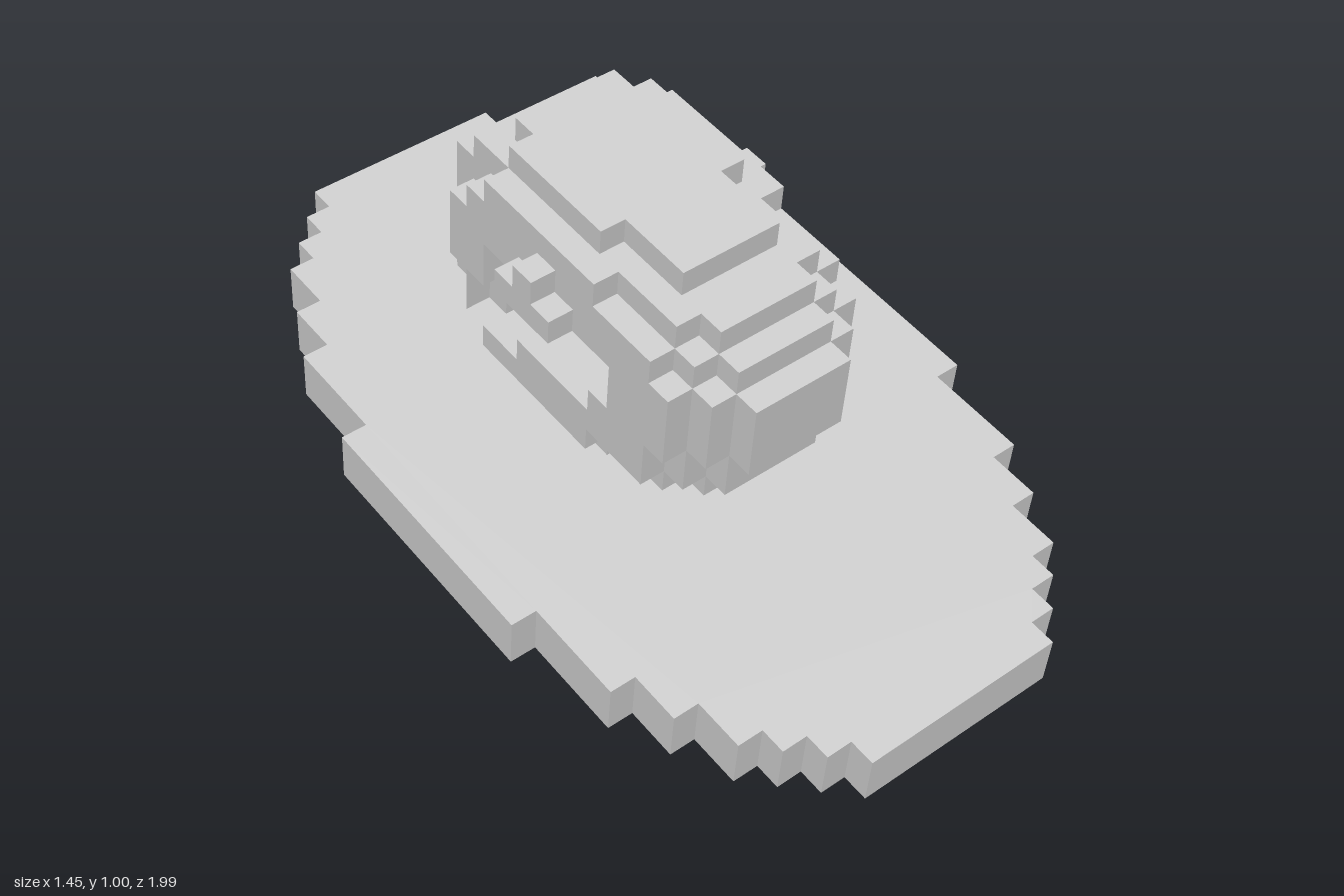
import * as THREE from 'three';

const CELL = 0.0616; // edge of one block

// Stepped outline points. rows: [end, min, max] stacked upward from start.
function steppedPoints(start, rows) {
  const right = [], left = [];
  let y = start;
  for (const [end, min, max] of rows) {
    right.push(new THREE.Vector2(max, y), new THREE.Vector2(max, end));
    left.push(new THREE.Vector2(min, y), new THREE.Vector2(min, end));
    y = end;
  }
  return [...right, ...left.reverse()];
}

function slab(start, rows, depth, hole) {
  const shape = new THREE.Shape(steppedPoints(start, rows));
  if (hole) shape.holes.push(new THREE.Path(steppedPoints(hole.start, hole.rows)));
  return new THREE.ExtrudeGeometry(shape, { depth, bevelEnabled: false });
}

export function createModel() {
  const model = new THREE.Group();
  const material = new THREE.MeshStandardMaterial({ color: 0xcccccc, flatShading: true });
  const add = (name, geometry) => {
    const mesh = new THREE.Mesh(geometry, material);
    mesh.name = name;
    model.add(mesh);
  };

  // Oval base plate, two blocks thick: [z end, half width]
  const half = [[5, 10], [9, 9], [11, 8], [13, 7], [14, 6], [15, 5], [16, 4]];
  const baseRows = [];
  for (let i = half.length - 1; i > 0; i--) baseRows.push([-half[i - 1][0], -half[i][1], half[i][1]]);
  for (const [end, w] of half) baseRows.push([end, -w, w]);
  add('basePlate', slab(-16, baseRows, 2).rotateX(Math.PI / 2).translate(0, 2, 0));

  // Upright ring with a tunnel from side to side, made of nested slabs
  const innerHole = { start: 4, rows: [[5, -5, -3], [6, -5, 1], [8, -5, 2]] };
  const outerHole = { start: 4, rows: [[5, -6, -3], [6, -6, 1], [8, -5, 2]] };
  const layers = [
    { halfWidth: 1, start: 2, hole: innerHole, rows: [[3, -6, 4], [4, -7, 5]] },
    { halfWidth: 2, start: 2, hole: innerHole, rows: [[3, -6, 3], [4, -7, 5], [6, -8, 6], [8, -9, 7],
      [9, -8, 7], [10, -8, 6], [11, -7, 5], [12, -6, 3]] },
    { halfWidth: 3, start: 2, hole: innerHole, rows: [[3, -5, 1], [4, -7, 4], [6, -8, 5], [9, -8, 6],
      [10, -8, 5], [11, -7, 4], [12, -5, 0]] },
    { halfWidth: 4, start: 3, hole: outerHole, rows: [[4, -5, 1], [6, -6, 4], [9, -7, 5], [10, -6, 4],
      [11, -5, 1]] },
    // Small ledge over the tunnel mouth
    { halfWidth: 5, start: 8, rows: [[9, -3, 0], [10, -2, -1]] },
  ];
  for (const { halfWidth, start, rows, hole } of layers) {
    const usesHole = halfWidth > 1 ? hole : undefined;
    add('ringLayer' + halfWidth, slab(start, rows, 2 * halfWidth, usesHole)
      .translate(0, 0, -halfWidth).rotateY(-Math.PI / 2));
  }

  // Turned and tipped as one piece
  model.scale.setScalar(CELL);
  model.rotation.set(0.2, Math.PI / 8, 0);
  model.position.set(0, 0.2, -0.012);
  const root = new THREE.Group();
  root.name = 'blockRingOnPlate';
  root.add(model);
  return root;
}
